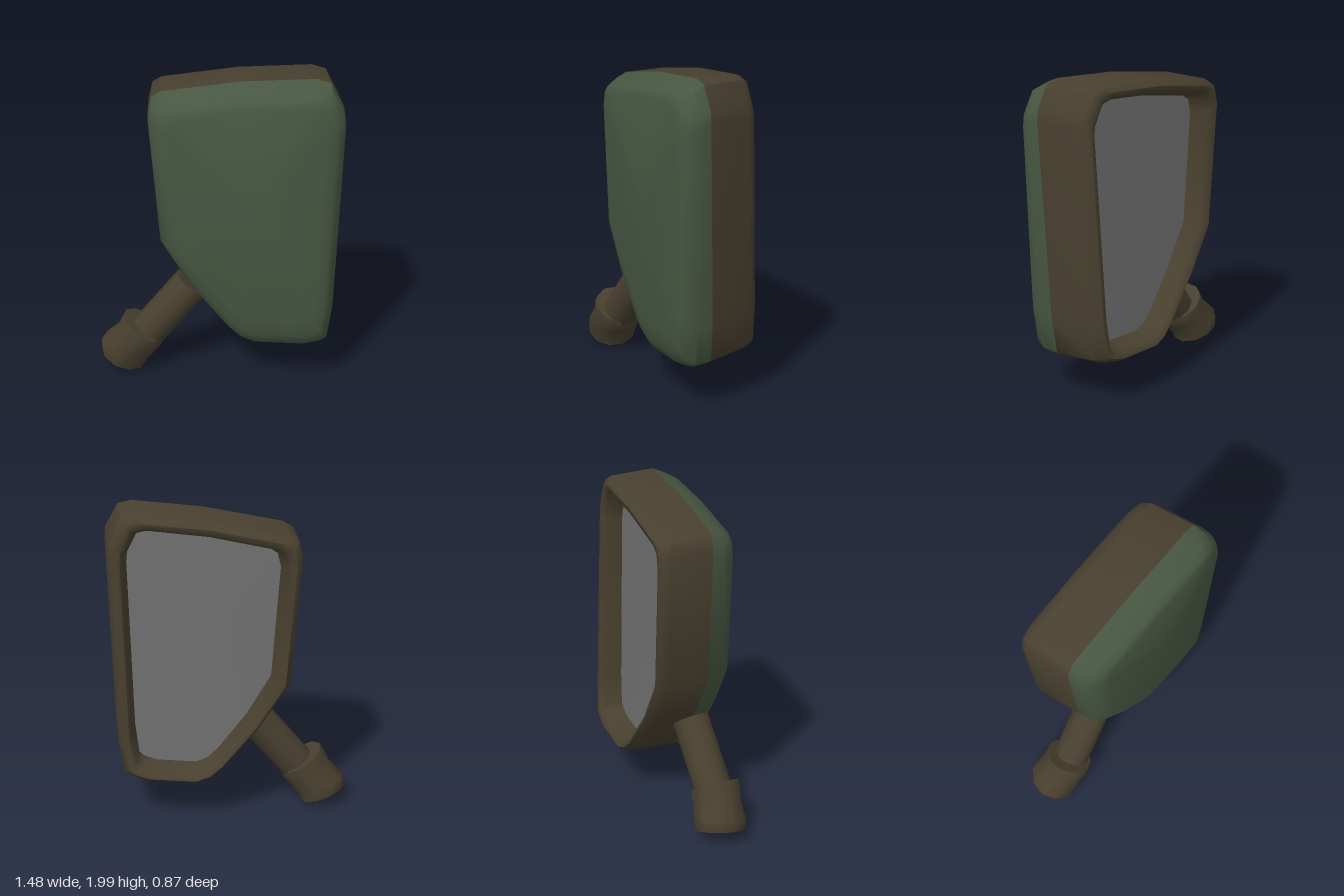
import * as THREE from 'three';
import { toCreasedNormals } from 'three/addons/utils/BufferGeometryUtils.js';

const material = (name, color) => {
  const m = new THREE.MeshStandardMaterial({ color });
  m.name = name;
  return m;
};

// Skin a list of closed rings, optionally closing the first or last one.
function loft(rings, { capStart = false, capEnd = false, crease = 0.8 } = {}) {
  const pos = [];
  const tri = (...pts) => pts.forEach((p) => pos.push(p.x, p.y, p.z));
  const n = rings[0].length;
  const middle = (r) => r.reduce((s, p) => s.add(p), new THREE.Vector3()).divideScalar(n);
  const first = rings[0], last = rings[rings.length - 1];
  const c0 = middle(first), c1 = middle(last);
  for (let j = 0; j < n; j++) {
    const k = (j + 1) % n;
    for (let i = 0; i + 1 < rings.length; i++) {
      const a = rings[i], b = rings[i + 1];
      tri(a[j], b[j], a[k]);
      tri(a[k], b[j], b[k]);
    }
    if (capStart) tri(c0, first[j], first[k]);
    if (capEnd) tri(c1, last[k], last[j]);
  }
  const geo = new THREE.BufferGeometry();
  geo.setAttribute('position', new THREE.Float32BufferAttribute(pos, 3));
  return toCreasedNormals(geo, crease);
}

// Housing outline, counter-clockwise from the bottom right.
const outline = [
  [0.5, 0.266], [0.6, 0.295], [0.64, 0.325], [0.67, 0.55], [0.708, 1.77], [0.7, 1.84], [0.625, 1.978],
  [0.54, 2], [0.1, 1.965], [-0.37, 1.885], [-0.43, 1.85], [-0.455, 1.75], [-0.395, 0.94],
  [-0.21, 0.64], [0.02, 0.36], [0.1, 0.29], [0.19, 0.258],
];

// One outline ring: inset towards the middle at a depth. The lower right leans
// back by lean; lift raises the bottom edge and drop lowers the top edge.
function section(inset, depth, { lean = 0, lift = 0, drop = 0 } = {}) {
  return outline.map(([u, v]) => {
    let y = 1.13 + (v - 1.13) * (1 - inset / 0.87);
    y += lift * Math.max(0, 1 - y) - drop * Math.max(0, y - 1);
    const weight = THREE.MathUtils.clamp((u + 0.35) / 0.55, 0, 1);
    const z = depth + lean * Math.min(0, y - 1.8) * weight;
    const x = 0.14 + (u - 0.14) * (1 - inset / 0.57) + 0.17 * (depth - 0.1);
    return new THREE.Vector3(x, y, z);
  });
}

// One round ring of the stem, facing along normal.
function circle(center, normal, radius, sides = 10) {
  const q = new THREE.Quaternion().setFromUnitVectors(
    new THREE.Vector3(0, 0, 1), new THREE.Vector3(...normal).normalize());
  return Array.from({ length: sides }, (_, i) => {
    const a = (i / sides) * Math.PI * 2;
    return new THREE.Vector3(Math.cos(a) * radius, Math.sin(a) * radius, 0)
      .applyQuaternion(q).add(new THREE.Vector3(...center));
  });
}

export function createModel() {
  const green = material('green paint', 0x475641);
  const brown = material('dark brown plastic', 0x48402f);
  const grey = material('grey glass', 0x707070);
  const model = new THREE.Group();
  model.name = 'sideMirror';
  const add = (parent, name, geo, mat) => {
    const mesh = new THREE.Mesh(geo, mat);
    mesh.name = name;
    parent.add(mesh);
  };

  // Mirror head, turned slightly about the vertical
  const head = new THREE.Group();
  head.name = 'mirrorHead';
  head.rotation.y = 0.287;
  model.add(head);

  const seam = section(0, 0.105, { lean: 0.035 });
  add(head, 'frontShell', loft([
    section(0.12, 0.281, { lift: 0.16 }),
    section(0.06, 0.265, { lift: 0.07, drop: 0.02 }),
    section(0.025, 0.23, { lift: 0.02, drop: 0.035 }),
    section(0, 0.175, { lean: 0.01, drop: 0.03 }),
    seam,
  ], { capStart: true }), green);

  const lean = 0.045;
  const floor = section(0.12, -0.1, { lean: 0.03 });
  add(head, 'rearFrame', loft([
    seam,
    section(0.005, -0.165, { lean, lift: 0.03 }),
    section(0.022, -0.21, { lean, lift: 0.03 }),
    section(0.045, -0.23, { lean, lift: 0.02 }),
    section(0.075, -0.225, { lean }),
    section(0.095, -0.2, { lean }),
    floor,
  ]), brown);
  add(head, 'mirrorGlass', loft([floor], { capEnd: true }), grey);

  // Stem running from the lower corner of the head down to its foot
  const along = [0.24, 0.33, -0.115];
  add(model, 'stem', loft([
    circle([-0.18, 0.605, 0.125], along, 0.116),
    circle([-0.485, 0.195, 0.266], along, 0.116),
  ], { capStart: true }), brown);

  // Flared foot with a collar
  add(model, 'stemFoot', loft([
    circle([-0.46, 0.298, 0.252], [0.16, 0.26, -0.06], 0.152),
    circle([-0.478, 0.255, 0.257], [0.16, 0.28, -0.05], 0.158),
    circle([-0.51, 0.205, 0.262], [0.15, 0.28, -0.03], 0.15),
    circle([-0.592, 0.115, 0.275], [0.14, 0.29, 0], 0.162),
    circle([-0.602, 0.063, 0.275], [0.12, 0.29, 0], 0.152),
  ], { capStart: true, capEnd: true }), brown);

  return model;
}
